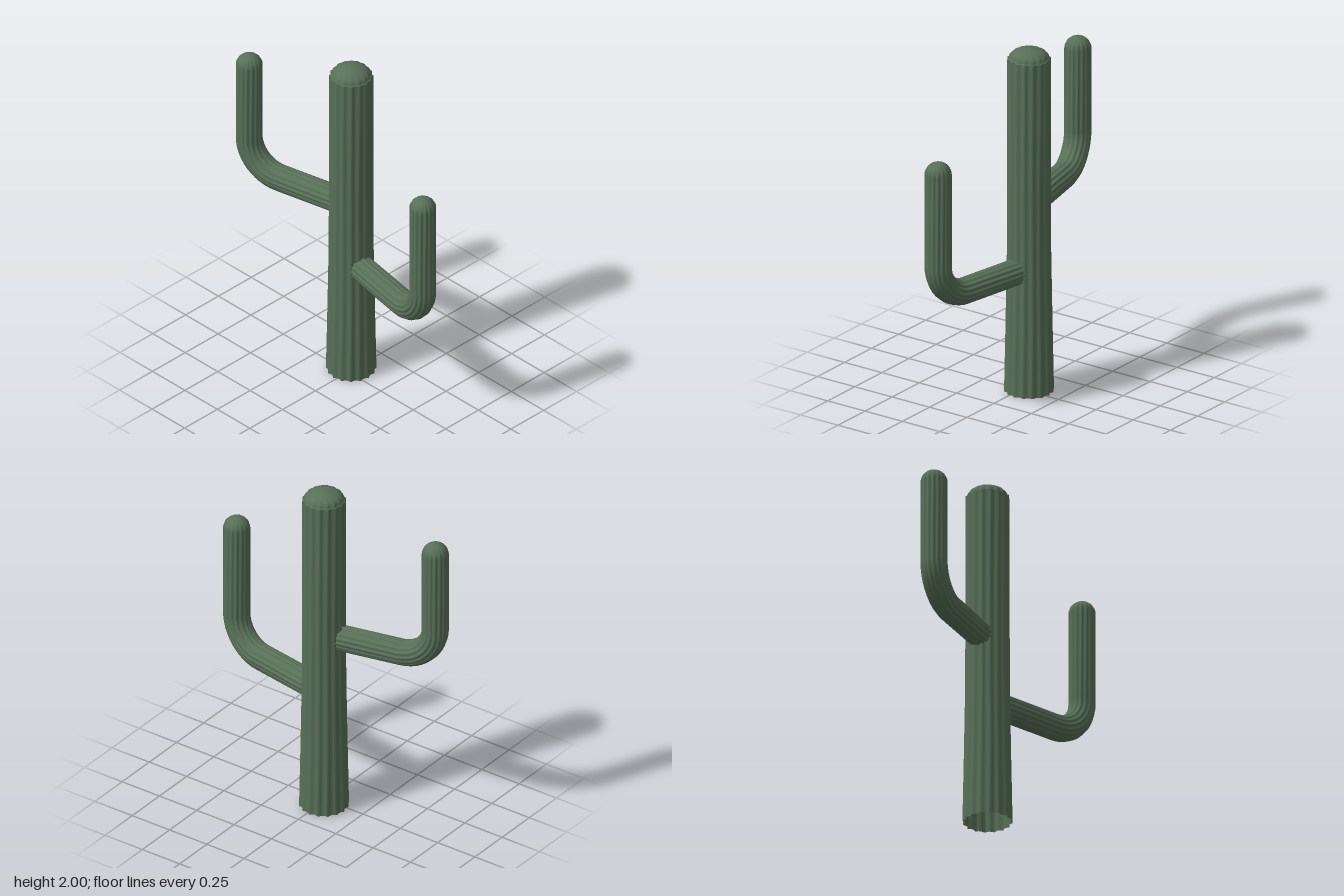
import * as THREE from 'three';

const RIBS = 16, STEPS = 4, N = RIBS * STEPS;
const green = new THREE.MeshStandardMaterial({ color: 0x587058, side: THREE.DoubleSide });
green.name = 'cactusGreen';

// Skin over rings of { c: centre, u, v: cross axes, r: ridge radius, d: groove depth as a fraction }
function ribbedSkin(name, rings) {
  const pos = [], idx = [];
  for (const { c, u, v, r, d } of rings) {
    for (let i = 0; i < N; i++) {
      const a = (i / N) * Math.PI * 2;
      // sharp ridges with rounded grooves between
      const k = r * (1 - d * Math.sin(((i % STEPS) / STEPS) * Math.PI));
      const p = c.clone().addScaledVector(u, k * Math.cos(a)).addScaledVector(v, k * Math.sin(a));
      pos.push(p.x, p.y, p.z);
    }
  }
  for (let j = 0; j < rings.length - 1; j++) {
    for (let i = 0; i < N; i++) {
      const a = j * N + i, b = j * N + (i + 1) % N;
      idx.push(a, b, b + N, a, b + N, a + N);
    }
  }
  const g = new THREE.BufferGeometry();
  g.setAttribute('position', new THREE.Float32BufferAttribute(pos, 3));
  g.setIndex(idx);
  g.computeVertexNormals();
  const mesh = new THREE.Mesh(g, green);
  mesh.name = name;
  return mesh;
}

// Rings of a rounded cap that closes upward, its grooves fading out
function domeRings(base, u, v, r, h, depth) {
  const rings = [];
  for (let i = 0; i <= 8; i++) {
    const a = (i / 8) * Math.PI / 2;
    const c = base.clone();
    c.y += h * Math.sin(a);
    rings.push({ c, u, v, r: Math.max(r * Math.cos(a), 0.0005), d: depth * (1 - i / 8) });
  }
  return rings;
}

// Arm: out from the trunk, a quarter bend, then straight up to a rounded tip
function arm(name, start, elbow, tipY) {
  const R = 0.074, BEND = 0.2, DEPTH = 0.11;
  const out = elbow.clone().sub(start).normalize();
  const up = new THREE.Vector3(0, 1, 0);
  const v = new THREE.Vector3().crossVectors(up, out);
  const ring = (c, t) => ({
    c, u: new THREE.Vector3().crossVectors(v, t), v, r: R, d: DEPTH,
  });
  const rings = [ring(start.clone(), out)];
  const centre = elbow.clone().addScaledVector(out, -BEND).addScaledVector(up, BEND);
  for (let i = 0; i <= 12; i++) {
    const a = (i / 12) * Math.PI / 2, s = Math.sin(a), k = Math.cos(a);
    const c = centre.clone().addScaledVector(out, BEND * s).addScaledVector(up, -BEND * k);
    rings.push(ring(c, out.clone().multiplyScalar(k).addScaledVector(up, s)));
  }
  const base = new THREE.Vector3(elbow.x, tipY - 0.07, elbow.z);
  const last = rings[rings.length - 1];
  rings.push(...domeRings(base, last.u, v, R, 0.07, DEPTH));
  return ribbedSkin(name, rings);
}

export function createModel() {
  const group = new THREE.Group();
  group.name = 'cactus';
  const V = (x, y, z) => new THREE.Vector3(x, y, z);
  const tx = -0.018, tz = -0.04;
  const u = V(0, 0, 1), v = V(1, 0, 0);

  // Trunk, open underneath and slightly flared at the foot
  const profile = [[0, 0.137], [0.4, 0.129], [0.8, 0.122], [1.2, 0.121], [1.94, 0.121]];
  group.add(ribbedSkin('trunk', profile.map(([y, r]) => ({ c: V(tx, y, tz), u, v, r, d: 0.1 }))));

  // Crown with a narrow ledge where it meets the trunk
  const crown = domeRings(V(tx, 1.94, tz), u, v, 0.112, 0.06, 0.08);
  crown.unshift({ c: V(tx, 1.94, tz), u, v, r: 0.121, d: 0.1 });
  group.add(ribbedSkin('crown', crown));

  // Arms
  group.add(arm('leftArm', V(0.072, 0.718, -0.024), V(0.655, 0.718, 0.08), 1.525));
  group.add(arm('rightArm', V(-0.105, 1.083, -0.021), V(-0.662, 1.083, 0.1), 1.825));
  return group;
}
